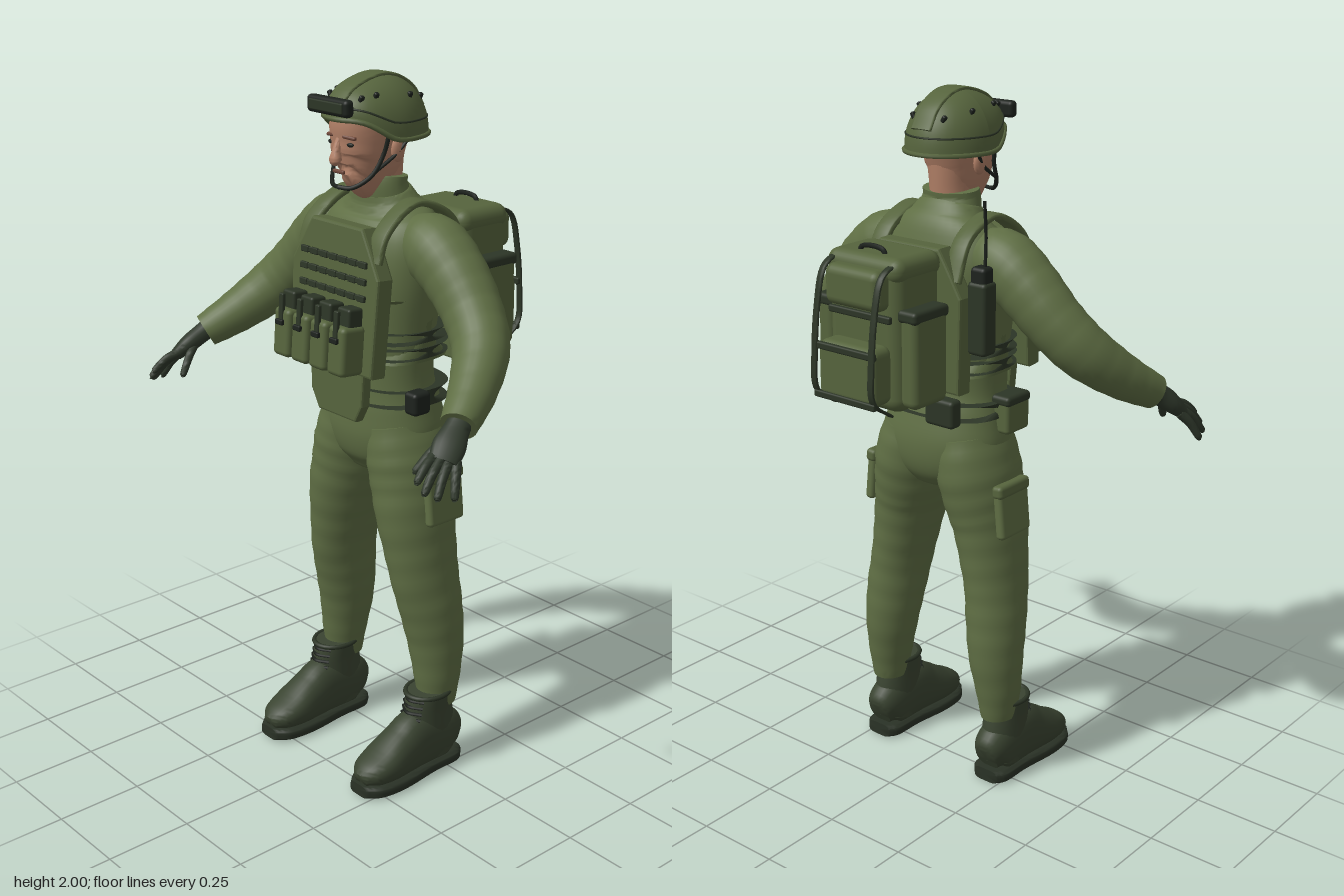
import * as THREE from 'three';
import { toCreasedNormals } from 'three/addons/utils/BufferGeometryUtils.js';
import { RoundedBoxGeometry } from 'three/addons/geometries/RoundedBoxGeometry.js';

const mat = (name, hex) => new THREE.MeshStandardMaterial({ name, color: hex, side: THREE.DoubleSide });
const M = {
  cloth: mat('olive cloth', 0x5f6e44), gear: mat('olive gear', 0x56643d), strap: mat('dark webbing', 0x2c3526),
  black: mat('black plastic', 0x1d221d), boot: mat('boot leather', 0x3a4431), sole: mat('boot sole', 0x2a3226),
  glove: mat('glove', 0x2f382b), skin: mat('skin', 0xb07f66), lip: mat('lips and brows', 0x70493b),
};
const X = new THREE.Vector3(1, 0, 0);

// Sweeps a superellipse through rings [x, y, z, a, b]; a lies along the axis, b across it
function sweep(rings, { axis = X, n = 24, power = 2, steps = 6, fold = 0, crease = 1 } = {}) {
  const path = new THREE.CatmullRomCurve3(rings.map(r => new THREE.Vector3(r[0], r[1], r[2])), false, 'catmullrom');
  const size = new THREE.CatmullRomCurve3(rings.map(r => new THREE.Vector3(r[3], r[4], 0)), false, 'catmullrom');
  const rows = (rings.length - 1) * steps, pos = [], idx = [];
  const round = v => Math.sign(v) * Math.abs(v) ** (2 / power);
  for (let i = 0; i <= rows; i++) {
    const u = i / rows, c = path.getPoint(u), t = path.getTangent(u), s = size.getPoint(u);
    const side = axis.clone().addScaledVector(t, -t.dot(axis)).normalize();
    const up = t.clone().cross(side), k = 1 + fold * Math.sin(u * 75);
    for (let j = 0; j < n; j++) {
      const a = (j / n) * Math.PI * 2;
      const p = c.clone().addScaledVector(side, s.x * k * round(Math.cos(a))).addScaledVector(up, s.y * k * round(Math.sin(a)));
      pos.push(p.x, p.y, p.z);
      if (i < rows) {
        const q = i * n + j, r = i * n + (j + 1) % n;
        idx.push(q, r, r + n, q, r + n, q + n);
      }
    }
  }
  const first = (rows + 1) * n, last = rows * n;
  for (const r of [rings[0], rings[rings.length - 1]]) pos.push(r[0], r[1], r[2]);
  for (let j = 0; j < n; j++) {
    const k = (j + 1) % n;
    idx.push(first, k, j, first + 1, last + j, last + k);
  }
  const g = new THREE.BufferGeometry();
  g.setAttribute('position', new THREE.Float32BufferAttribute(pos, 3));
  g.setIndex(idx);
  return toCreasedNormals(g, crease);
}

export function createModel() {
  const root = new THREE.Group();
  root.name = 'soldier';
  const add = (name, geo, m, p = [0, 0, 0], parent = root, r = [0, 0, 0]) => {
    const mesh = new THREE.Mesh(geo, m);
    mesh.name = name;
    mesh.position.set(...p);
    mesh.rotation.set(...r);
    parent.add(mesh);
    return mesh;
  };
  const box = (w, h, d, r = 0.012) => new RoundedBoxGeometry(w, h, d, 3, Math.min(r, w / 2.1, h / 2.1, d / 2.1));
  const tube = (pts, r, closed = false) => new THREE.TubeGeometry(
    new THREE.CatmullRomCurve3(pts.map(p => new THREE.Vector3(...p)), closed), 48, r, 6, closed);
  const group = name => { const g = new THREE.Group(); g.name = name; root.add(g); return g; };

  // Jacket and hips
  add('torso', sweep([[0, 0.9, 0.015, 0.1, 0.09], [0, 0.95, 0.015, 0.17, 0.125], [0, 1.02, 0.018, 0.198, 0.138],
    [0, 1.1, 0.025, 0.187, 0.13], [0, 1.18, 0.033, 0.172, 0.118], [0, 1.3, 0.033, 0.178, 0.12], [0, 1.45, 0.03, 0.2, 0.128],
    [0, 1.55, 0.022, 0.205, 0.122], [0, 1.62, 0.018, 0.175, 0.1], [0, 1.66, 0.024, 0.118, 0.078],
    [0, 1.69, 0.032, 0.092, 0.066]], { n: 40, power: 2.2 }), M.cloth);
  add('collar', sweep([[0, 1.65, 0.02, 0.1, 0.075], [0, 1.7, 0.033, 0.09, 0.064], [0, 1.73, 0.03, 0.086, 0.062]]), M.cloth);

  // Head
  const head = group('head');
  add('neck', sweep([[0, 1.66, 0.028, 0.06, 0.055], [0, 1.74, 0.035, 0.06, 0.066], [0, 1.82, 0.035, 0.07, 0.07]]), M.skin, [0, 0, 0], head);
  add('face', sweep([[0, 1.708, 0.13, 0.03, 0.04], [0, 1.725, 0.108, 0.055, 0.072], [0, 1.765, 0.083, 0.073, 0.098],
    [0, 1.81, 0.074, 0.082, 0.107], [0, 1.86, 0.067, 0.086, 0.116], [0, 1.92, 0.06, 0.083, 0.112]], { n: 32, power: 2.25 }), M.skin, [0, 0, 0], head);
  add('nose', sweep([[0, 1.838, 0.172, 0.009, 0.01], [0, 1.805, 0.183, 0.012, 0.013], [0, 1.783, 0.187, 0.019, 0.016],
    [0, 1.774, 0.18, 0.01, 0.008]], { n: 12 }), M.skin, [0, 0, 0], head);
  add('mouth', box(0.046, 0.011, 0.01), M.lip, [0, 1.751, 0.176], head);
  for (const s of [-1, 1]) {
    add('eye', new THREE.SphereGeometry(0.011, 12, 8).scale(1.3, 0.6, 0.6), M.black, [s * 0.036, 1.825, 0.168], head);
    add('brow', box(0.042, 0.01, 0.012), M.lip, [s * 0.037, 1.844, 0.17], head, [0, s * 0.3, s * -0.1]);
    add('ear', new THREE.SphereGeometry(0.03, 12, 10).scale(0.4, 1.1, 0.75), M.skin, [s * 0.086, 1.805, 0.045], head);
  }

  // Helmet: dome whose lower edge lifts over the brow
  const helmet = group('helmet');
  const edge = nz => 1.836 + 0.055 * THREE.MathUtils.smoothstep(nz, 0.1, 0.9);
  const onDome = (nx, nz, out = 1) => {
    const ny = Math.sqrt(Math.max(0, 1 - nx * nx - nz * nz));
    return [nx * 0.124 * out, edge(nz) + (1.995 - edge(nz)) * ny ** 0.9 * out, 0.045 + nz * 0.15 * out];
  };
  const dome = new THREE.SphereGeometry(1, 40, 20, 0, Math.PI * 2, 0, Math.PI / 2), dp = dome.attributes.position;
  for (let i = 0; i < dp.count; i++) dp.setXYZ(i, ...onDome(dp.getX(i), dp.getZ(i)));
  dome.computeVertexNormals();
  add('helmetShell', dome, M.gear, [0, 0, 0], helmet);
  const ring = (k, f) => Array.from({ length: k }, (_, i) => f(i / k * Math.PI * 2));
  add('helmetRim', tube(ring(24, a => onDome(Math.sin(a), Math.cos(a))), 0.007, true), M.gear, [0, 0, 0], helmet);
  add('helmetBand', tube(ring(24, a => onDome(Math.sin(a) * 0.97, Math.cos(a) * 0.97, 1)), 0.003, true), M.strap, [0, 0, 0], helmet);
  add('helmetRidge', sweep([-0.93, -0.7, -0.35, 0, 0.35, 0.7, 0.93].map(z => [...onDome(0, z), 0.034, 0.005]), { power: 4, n: 16 }), M.gear, [0, 0, 0], helmet);
  add('goggles', box(0.165, 0.046, 0.03, 0.012), M.black, [0, 1.926, 0.203], helmet);
  add('goggleLens', box(0.135, 0.028, 0.008), M.strap, [0, 1.926, 0.218], helmet);
  for (const s of [-1, 1]) {
    for (const [x, z] of [[0.62, 0.45], [0.72, -0.25], [0.42, -0.72], [0.5, 0.7]])
      add('helmetStud', box(0.012, 0.02, 0.014, 0.004), M.black, onDome(s * x, z), helmet, [0, 0, s * -0.5]);
    add('chinStrap', tube([[s * 0.105, 1.86, 0.09], [s * 0.092, 1.8, 0.1], [s * 0.078, 1.745, 0.13], [s * 0.04, 1.712, 0.165],
      [0, 1.71, 0.178]], 0.006), M.black, [0, 0, 0], helmet);
    add('rearStrap', tube([[s * 0.105, 1.85, 0.01], [s * 0.092, 1.8, 0.05], [s * 0.082, 1.755, 0.12]], 0.005), M.black, [0, 0, 0], helmet);
  }

  // Limbs
  for (const s of [-1, 1]) {
    const side = s < 0 ? 'right' : 'left';
    const flip = rings => rings.map(([x, ...r]) => [x * s, ...r]);
    add(side + 'Sleeve', sweep(flip([[0.12, 1.57, 0.018, 0.07, 0.07], [0.2, 1.552, 0.015, 0.09, 0.093], [0.28, 1.495, 0.016, 0.086, 0.09],
      [0.36, 1.415, 0.028, 0.079, 0.083], [0.43, 1.34, 0.065, 0.074, 0.078], [0.49, 1.265, 0.15, 0.063, 0.065],
      [0.538, 1.205, 0.245, 0.048, 0.05]]), { axis: new THREE.Vector3(0, 0.3, 1), fold: 0.012, n: 28 }), M.cloth);
    const hand = group(side + 'Glove'), wide = new THREE.Vector3(0.045 * s, -0.015, -0.035).normalize();
    add('palm', sweep(flip([[0.53, 1.225, 0.22, 0.034, 0.03], [0.542, 1.2, 0.255, 0.034, 0.028], [0.558, 1.17, 0.295, 0.043, 0.026],
      [0.574, 1.14, 0.33, 0.037, 0.018]]), { axis: wide, n: 16, power: 2.5 }), M.glove, [0, 0, 0], hand);
    for (const [a, b] of [[[0.55, 1.155, 0.333], [0.57, 1.108, 0.415]], [[0.568, 1.148, 0.332], [0.592, 1.083, 0.41]],
      [[0.582, 1.142, 0.32], [0.615, 1.07, 0.388]], [[0.59, 1.14, 0.3], [0.632, 1.063, 0.345]],
      [[0.54, 1.185, 0.275], [0.5, 1.1, 0.36]]]) {
      const at = (t, r, lift = 0) => [a[0] + (b[0] - a[0]) * t, a[1] + (b[1] - a[1]) * t + lift, a[2] + (b[2] - a[2]) * t, r, r];
      add('finger', sweep(flip([at(0, 0.014), at(0.5, 0.0125, 0.008), at(0.93, 0.01), at(1, 0.004)]), { axis: wide, n: 10 }), M.glove, [0, 0, 0], hand);
    }

    add(side + 'TrouserLeg', sweep(flip([[0.21, 0.2, 0.0, 0.05, 0.058], [0.208, 0.29, -0.002, 0.064, 0.072], [0.199, 0.4, -0.003, 0.077, 0.087],
      [0.19, 0.5, 0.008, 0.083, 0.097], [0.178, 0.6, 0.022, 0.083, 0.107], [0.162, 0.7, 0.028, 0.09, 0.115],
      [0.145, 0.8, 0.03, 0.099, 0.125], [0.128, 0.88, 0.023, 0.107, 0.132], [0.112, 0.96, 0.018, 0.108, 0.137],
      [0.095, 1.05, 0.02, 0.095, 0.125]]), { n: 32, fold: 0.009 }), M.cloth);
    const pocket = group(side + 'CargoPocket');
    add('pocket', box(0.03, 0.15, 0.13), M.cloth, [s * 0.238, 0.855, 0.01], pocket, [0, 0, s * 0.1]);
    add('pocketFlap', box(0.036, 0.038, 0.136), M.gear, [s * 0.234, 0.92, 0.01], pocket, [0, 0, s * 0.1]);

    // Laced boots
    const boot = group(side + 'Boot');
    add('sole', sweep(flip([[0.21, 0.02, -0.062, 0.04, 0.02], [0.21, 0.02, -0.03, 0.06, 0.02], [0.21, 0.02, 0.06, 0.062, 0.02],
      [0.21, 0.02, 0.18, 0.075, 0.02], [0.21, 0.02, 0.26, 0.066, 0.02], [0.21, 0.02, 0.302, 0.035, 0.018]]), { power: 4, n: 32 }), M.sole, [0, 0, 0], boot);
    add('foot', sweep(flip([[0.21, 0.07, -0.056, 0.036, 0.04], [0.21, 0.09, -0.02, 0.056, 0.08], [0.21, 0.105, 0.07, 0.06, 0.095],
      [0.21, 0.09, 0.14, 0.063, 0.077], [0.21, 0.072, 0.21, 0.067, 0.053], [0.21, 0.06, 0.265, 0.055, 0.036],
      [0.21, 0.05, 0.295, 0.026, 0.02]]), { n: 28, power: 2.3 }), M.boot, [0, 0, 0], boot);
    add('shaft', sweep(flip([[0.21, 0.05, 0.01, 0.056, 0.065], [0.21, 0.13, 0.028, 0.057, 0.082], [0.21, 0.2, 0.035, 0.057, 0.078],
      [0.21, 0.25, 0.035, 0.06, 0.068]])), M.boot, [0, 0, 0], boot);
    add('cuff', new THREE.TorusGeometry(0.06, 0.007, 8, 28).scale(1, 1.15, 1), M.strap, [s * 0.21, 0.247, 0.035], boot, [Math.PI / 2, 0, 0]);
    for (let i = 0; i < 6; i++)
      add('lace', tube([-0.04, 0, 0.04].map(x => [s * 0.21 + x, 0.145 + i * 0.018, 0.128 - i * 0.0045 - Math.abs(x) * 0.5]), 0.0055), M.black, [0, 0, 0], boot);
  }

  // Armor vest: chamfered plate, webbing rows and four magazine pouches
  const armor = group('frontArmor');
  armor.position.set(0, 1.42, 0.195);
  armor.rotation.x = -0.08;
  const plate = new THREE.Shape([[-0.165, -0.19], [0.165, -0.19], [0.172, 0.07], [0.14, 0.125], [0.1, 0.19], [-0.1, 0.19],
    [-0.14, 0.125], [-0.172, 0.07]].map(p => new THREE.Vector2(...p)));
  const plateGeo = new THREE.ExtrudeGeometry(plate, { depth: 0.04, bevelSize: 0.007, bevelThickness: 0.007, bevelSegments: 2 });
  add('plate', plateGeo, M.gear, [0, 0, -0.04], armor);
  for (const y of [0.105, 0.06, 0.015]) {
    add('webbing', box(0.27, 0.014, 0.008, 0.003), M.strap, [0, y, 0.009], armor);
    for (let i = -3; i <= 3; i++) add('webbingLoop', box(0.03, 0.018, 0.01, 0.003), M.strap, [i * 0.04, y, 0.011], armor);
  }
  for (let i = 0; i < 4; i++) {
    const x = (i - 1.5) * 0.077;
    add('magazine', box(0.052, 0.13, 0.05, 0.008), M.strap, [x, -0.07, 0.042], armor);
    add('pouch', box(0.068, 0.135, 0.078, 0.014), M.gear, [x, -0.12, 0.05], armor);
    add('pouchStrap', box(0.018, 0.08, 0.012, 0.004), M.strap, [x, -0.05, 0.087], armor);
    add('pouchBuckle', box(0.03, 0.016, 0.012, 0.004), M.black, [x, -0.09, 0.093], armor);
  }
  add('backPlate', plateGeo, M.gear, [0, 1.41, -0.142]);
  const band = (name, y0, y1, rx, rz, cz, m) =>
    add(name, sweep([[0, y0, cz, rx, rz], [0, y1, cz, rx, rz]], { n: 48, power: 2.7, steps: 1 }), m);
  band('cummerbund', 1.24, 1.42, 0.184, 0.143, 0.026, M.gear);
  for (const y of [1.265, 1.31]) band('cummerbundStrap', y - 0.015, y + 0.015, 0.188, 0.147, 0.026, M.strap);
  for (const s of [-1, 1])
    add('shoulderStrap', sweep([[0.142, 1.53, 0.178], [0.14, 1.6, 0.15], [0.135, 1.655, 0.08], [0.132, 1.668, 0.01],
      [0.135, 1.62, -0.085], [0.14, 1.52, -0.135]].map(([x, y, z]) => [x * s, y, z, 0.027, 0.01]), { power: 5, n: 16 }), M.gear);
  const flap = new THREE.Shape([[-0.11, 0.08], [-0.1, -0.03], [-0.075, -0.075], [0.075, -0.075], [0.1, -0.03], [0.11, 0.08]]
    .map(p => new THREE.Vector2(...p)));
  add('groinFlap', new THREE.ExtrudeGeometry(flap, { depth: 0.02, bevelSize: 0.006, bevelThickness: 0.006, bevelSegments: 2 }),
    M.gear, [0, 1.155, 0.168]);

  // Belt and its pouches
  band('belt', 1.115, 1.16, 0.193, 0.14, 0.022, M.strap);
  add('rightHipPouch', box(0.06, 0.105, 0.1), M.gear, [-0.195, 1.122, 0.055]);
  add('rightHipFlap', box(0.066, 0.03, 0.105), M.strap, [-0.195, 1.165, 0.055]);
  add('leftHipPouch', box(0.08, 0.13, 0.1, 0.018), M.gear, [0.237, 1.165, -0.1]);
  add('leftHipFlap', box(0.085, 0.045, 0.106, 0.014), M.gear, [0.237, 1.208, -0.1]);
  add('leftBlackPouch', box(0.05, 0.065, 0.06), M.black, [0.195, 1.135, 0.07]);
  add('rearPouch', box(0.1, 0.08, 0.045), M.strap, [-0.1, 1.15, -0.125]);

  // Radio
  add('radio', box(0.062, 0.2, 0.055), M.strap, [-0.214, 1.43, -0.102]);
  add('radioTop', box(0.05, 0.06, 0.045), M.black, [-0.214, 1.54, -0.102]);
  add('antenna', tube([[-0.222, 1.56, -0.1], [-0.224, 1.65, -0.1], [-0.228, 1.745, -0.112]], 0.0045), M.black);

  // Backpack
  const pack = group('backpack');
  add('mainBag', box(0.255, 0.41, 0.18, 0.04), M.gear, [0, 1.4, -0.247], pack);
  add('lid', box(0.262, 0.07, 0.186, 0.034), M.gear, [0, 1.578, -0.247], pack);
  add('lowerPocket', box(0.2, 0.16, 0.085, 0.025), M.gear, [0, 1.305, -0.365], pack);
  add('upperPocket', box(0.19, 0.11, 0.065, 0.025), M.gear, [0, 1.53, -0.35], pack);
  add('handle', tube([[-0.045, 1.605, -0.29], [-0.035, 1.622, -0.29], [0.035, 1.622, -0.29], [0.045, 1.605, -0.29]], 0.007), M.black, [0, 0, 0], pack);
  for (const y of [1.235, 1.37, 1.455])
    add('crossStrap', box(0.215, 0.02, 0.015, 0.005), M.strap, [0, y, y > 1.4 ? -0.343 : -0.406], pack);
  for (const s of [-1, 1]) {
    add('sidePocket', box(0.06, 0.26, 0.135, 0.022), M.gear, [s * 0.145, 1.345, -0.257], pack);
    add('sidePocketFlap', box(0.066, 0.035, 0.14, 0.012), M.strap, [s * 0.143, 1.465, -0.257], pack);
    add('compressionStrap', sweep([[1.605, -0.3], [1.57, -0.372], [1.47, -0.4], [1.35, -0.413], [1.25, -0.41], [1.195, -0.34]]
      .map(([y, z]) => [s * 0.1, y, z, 0.01, 0.004]), { power: 4, n: 12 }), M.strap, [0, 0, 0], pack);
    add('harnessStrap', box(0.04, 0.32, 0.03), M.strap, [s * 0.08, 1.42, -0.152], pack);
  }
  return root;
}
